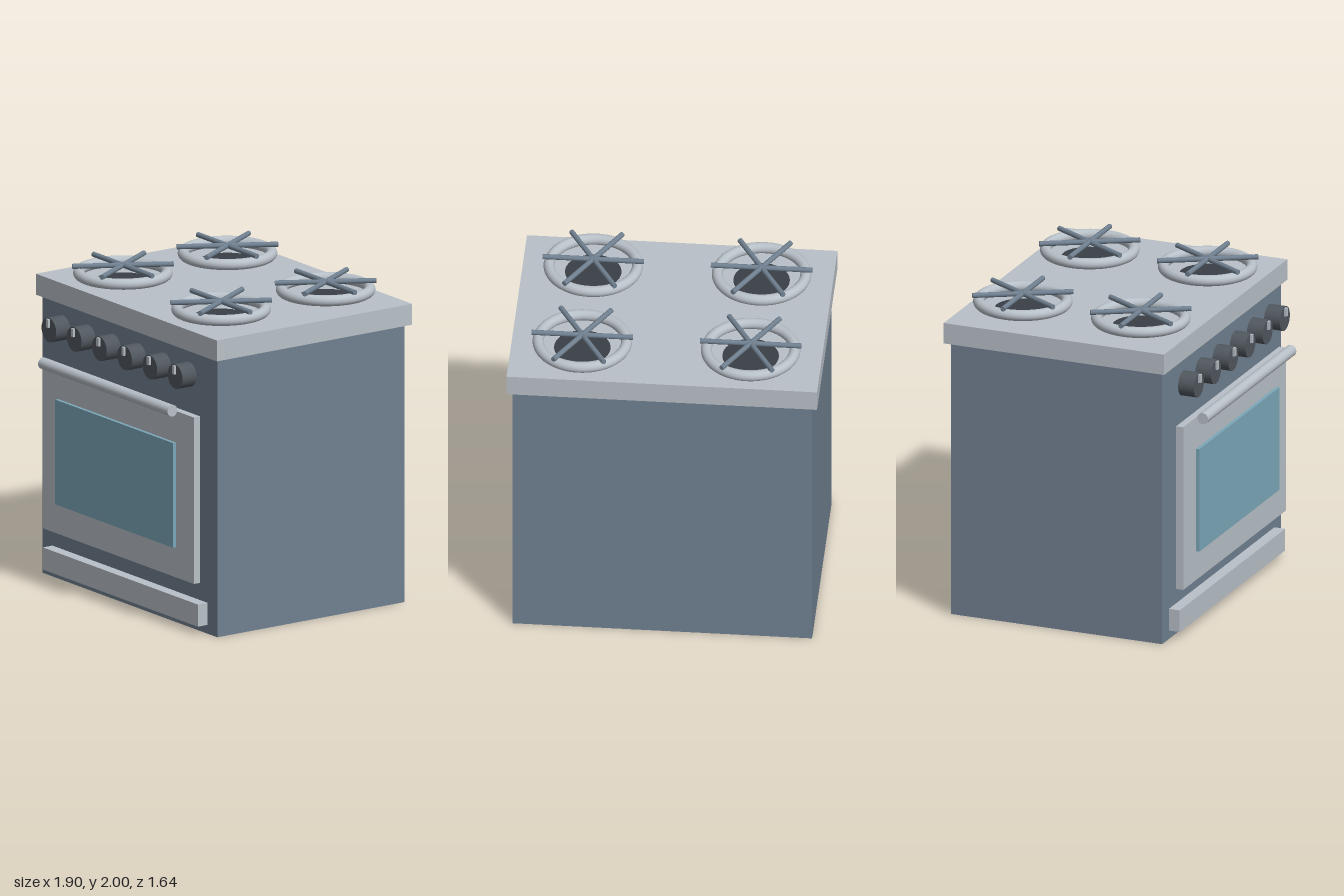
import * as THREE from 'three';

export function createModel() {
  const model = new THREE.Group();
  model.name = 'stove';

  const material = (name, color) => {
    const m = new THREE.MeshStandardMaterial({ color });
    m.name = name;
    return m;
  };
  const slate = material('slate enamel', 0x708090);
  const steel = material('light steel', 0xb8c0c8);
  const glass = material('blue glass', 0x7ba7b9);
  const charcoal = material('charcoal', 0x50575e);
  const iron = material('dark iron', 0x3a3f47);

  const add = (parent, name, geometry, mat, x = 0, y = 0, z = 0) => {
    const mesh = new THREE.Mesh(geometry, mat);
    mesh.name = name;
    mesh.position.set(x, y, z);
    parent.add(mesh);
    return mesh;
  };
  // Box given by half width and its y and z ranges
  const slab = (name, mat, halfX, y0, y1, z0, z1) =>
    add(model, name, new THREE.BoxGeometry(halfX * 2, y1 - y0, z1 - z0), mat,
      0, (y0 + y1) / 2, (z0 + z1) / 2);

  // Cabinet, worktop, drawer and oven door
  slab('body', slate, 0.917, 0, 1.755, -0.785, 0.618);
  slab('cooktop', steel, 0.95, 1.755, 1.887, -0.818, 0.645);
  slab('drawer', steel, 0.813, 0.055, 0.195, 0.61, 0.69);
  slab('innerDoorGlass', glass, 0.7, 0.415, 1.285, 0.61, 0.658);
  slab('ovenDoor', steel, 0.793, 0.323, 1.375, 0.658, 0.705);
  slab('ovenWindow', glass, 0.618, 0.518, 1.18, 0.715, 0.737);

  // Door handle
  add(model, 'doorHandle', new THREE.CylinderGeometry(0.036, 0.036, 1.36, 32), steel, 0, 1.405, 0.785)
    .rotation.z = Math.PI / 2;

  // Row of control knobs with pointer marks
  for (let i = 0; i < 6; i++) {
    const knob = new THREE.Group();
    knob.name = 'knob';
    knob.position.set((i - 2.5) * 0.265, 1.612, 0.7);
    add(knob, 'knobDial', new THREE.CylinderGeometry(0.077, 0.077, 0.105, 32), charcoal)
      .rotation.x = Math.PI / 2;
    add(knob, 'knobPointer', new THREE.BoxGeometry(0.022, 0.053, 0.02), steel, 0, 0.044, 0.058);
    model.add(knob);
  }

  // Four burners: plate, ring and three crossed grate bars
  const plate = new THREE.CylinderGeometry(0.172, 0.172, 0.015, 48);
  const ring = new THREE.TorusGeometry(0.27, 0.034, 20, 64);
  const bar = new THREE.CylinderGeometry(0.016, 0.016, 0.62, 16);
  bar.rotateZ(Math.PI / 2);
  for (const x of [-0.515, 0.515]) {
    for (const z of [-0.48, 0.303]) {
      const burner = new THREE.Group();
      burner.name = 'burner';
      burner.position.set(x, 0, z);
      add(burner, 'burnerPlate', plate, iron, 0, 1.884, 0);
      add(burner, 'burnerRing', ring, steel, 0, 1.937, 0).rotation.x = Math.PI / 2;
      for (let k = 0; k < 3; k++) {
        add(burner, 'grateBar', bar, slate, 0, 1.984, 0).rotation.y = k * Math.PI / 3;
      }
      model.add(burner);
    }
  }

  return model;
}
